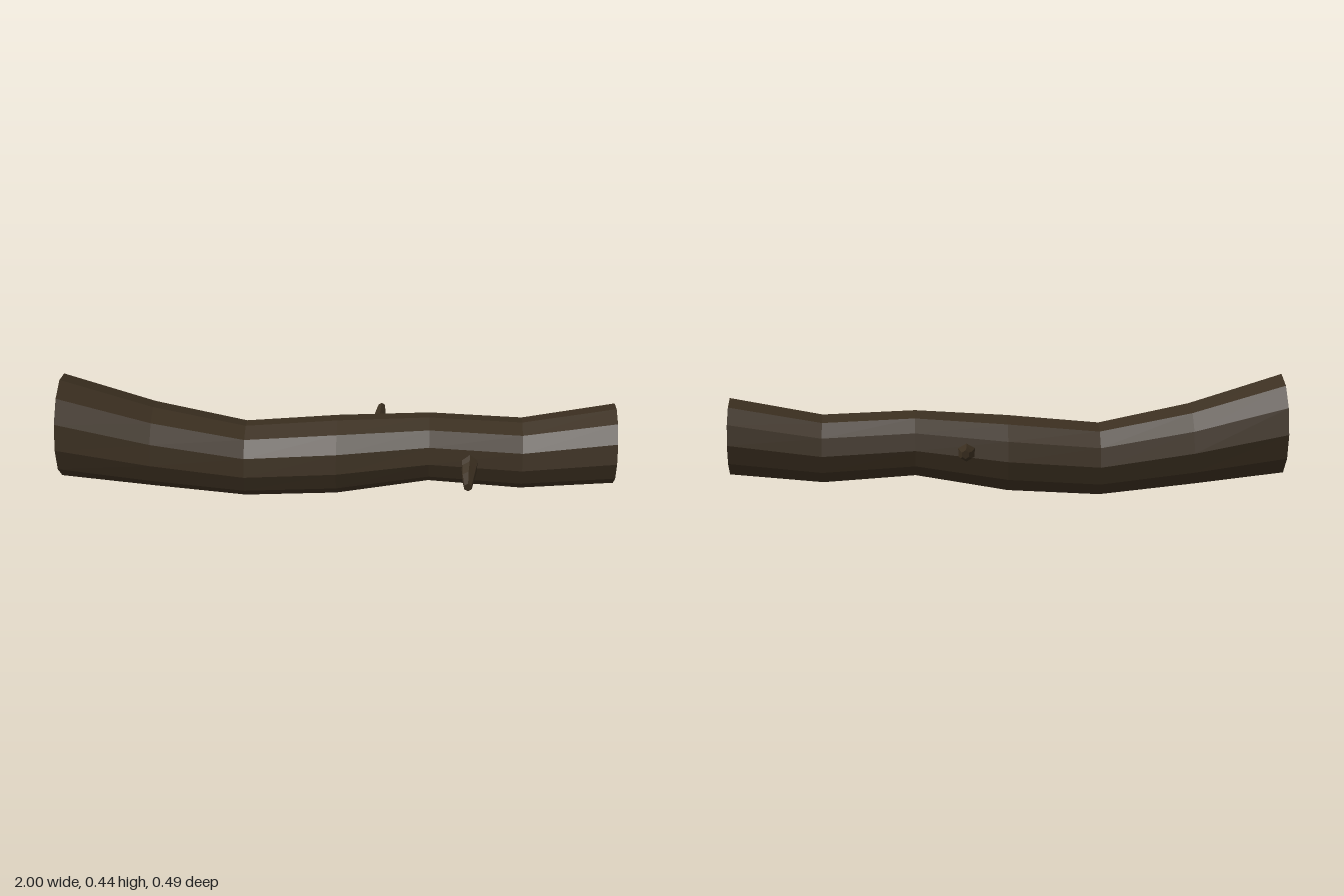
import * as THREE from 'three';

const bark = new THREE.MeshStandardMaterial({ color: 0x3b2f20, flatShading: true });
const wood = new THREE.MeshStandardMaterial({ color: 0x6f6353, flatShading: true });

// Skins a row of rings (equal point counts); capEnd closes the last ring.
function loft(rings, capEnd = false) {
  const n = rings[0].length, index = [];
  const pos = rings.flat().flatMap(p => [p.x, p.y, p.z]);
  for (let r = 0; r < rings.length - 1; r++) {
    for (let i = 0; i < n; i++) {
      const a = r * n + i, b = r * n + (i + 1) % n;
      index.push(a, b, a + n, b, b + n, a + n);
    }
  }
  if (capEnd) {
    const s = (rings.length - 1) * n;
    for (let i = 1; i < n - 1; i++) index.push(s, s + i, s + i + 1);
  }
  const g = new THREE.BufferGeometry();
  g.setAttribute('position', new THREE.Float32BufferAttribute(pos, 3));
  g.setIndex(index);
  g.computeVertexNormals();
  return g;
}

// Ring of the trunk in a plane of constant x, first point at the top, wound for growth towards +x.
function trunkRing(x, y, z, ry, rz) {
  return Array.from({ length: 12 }, (_, i) => {
    const a = i / 12 * Math.PI * 2;
    return new THREE.Vector3(x, y + ry * Math.cos(a), z + rz * Math.sin(a));
  });
}

// Ring of a twig in a plane of constant z, wound for growth towards dir.
function twigRing(x, y, z, rx, ry, dir) {
  return Array.from({ length: 6 }, (_, i) => {
    const a = dir * i / 6 * Math.PI * 2 + Math.PI / 6;
    return new THREE.Vector3(x + rx * Math.cos(a), y + ry * Math.sin(a), z);
  });
}

export function createModel() {
  const group = new THREE.Group();
  const add = (name, geometry, material) => {
    const mesh = new THREE.Mesh(geometry, material);
    mesh.name = name;
    group.add(mesh);
  };

  // Trunk sections: x, top y, bottom y, half depth
  const sections = [
    [-1, 0.445, 0.074, 0.185], [-0.667, 0.34, 0.036, 0.16], [-0.333, 0.27, 0, 0.14],
    [0, 0.301, 0.019, 0.145], [0.333, 0.322, 0.079, 0.128], [0.667, 0.309, 0.056, 0.13],
    [1, 0.373, 0.089, 0.148],
  ].map(([x, t, b, rz]) => [x, (t + b) / 2, 0.008, (t - b) / 2, rz]);

  // End rims turn inwards to slightly recessed cut faces
  const inset = ([x, y, z, ry, rz]) => [x - Math.sign(x) * 0.015, y, z, ry * 0.925, rz * 0.925];
  const rightCut = inset(sections[0]), leftCut = inset(sections[6]);
  add('trunk', loft([rightCut, ...sections, leftCut].map(s => trunkRing(...s))), bark);

  // Cut wood faces
  for (const [name, s] of [['rightCutFace', rightCut], ['leftCutFace', leftCut]]) {
    const ring = trunkRing(...s);
    if (s[0] < 0) ring.reverse();
    add(name, loft([ring], true), wood);
  }

  // Broken twigs: x, y, z, half width, half height
  const twig = (name, dir, rows) =>
    add(name, loft(rows.map(r => twigRing(...r, dir)), true), bark);
  twig('frontTwig', 1, [
    [0.48, 0.208, 0.10, 0.036, 0.041], [0.478, 0.195, 0.15, 0.03, 0.033],
    [0.474, 0.186, 0.195, 0.024, 0.028], [0.472, 0.178, 0.245, 0.015, 0.016],
  ]);
  twig('backTwig', -1, [
    [0.15, 0.189, -0.09, 0.038, 0.036], [0.15, 0.197, -0.14, 0.032, 0.029],
    [0.152, 0.204, -0.2, 0.022, 0.024], [0.156, 0.216, -0.245, 0.014, 0.016],
  ]);
  return group;
}
